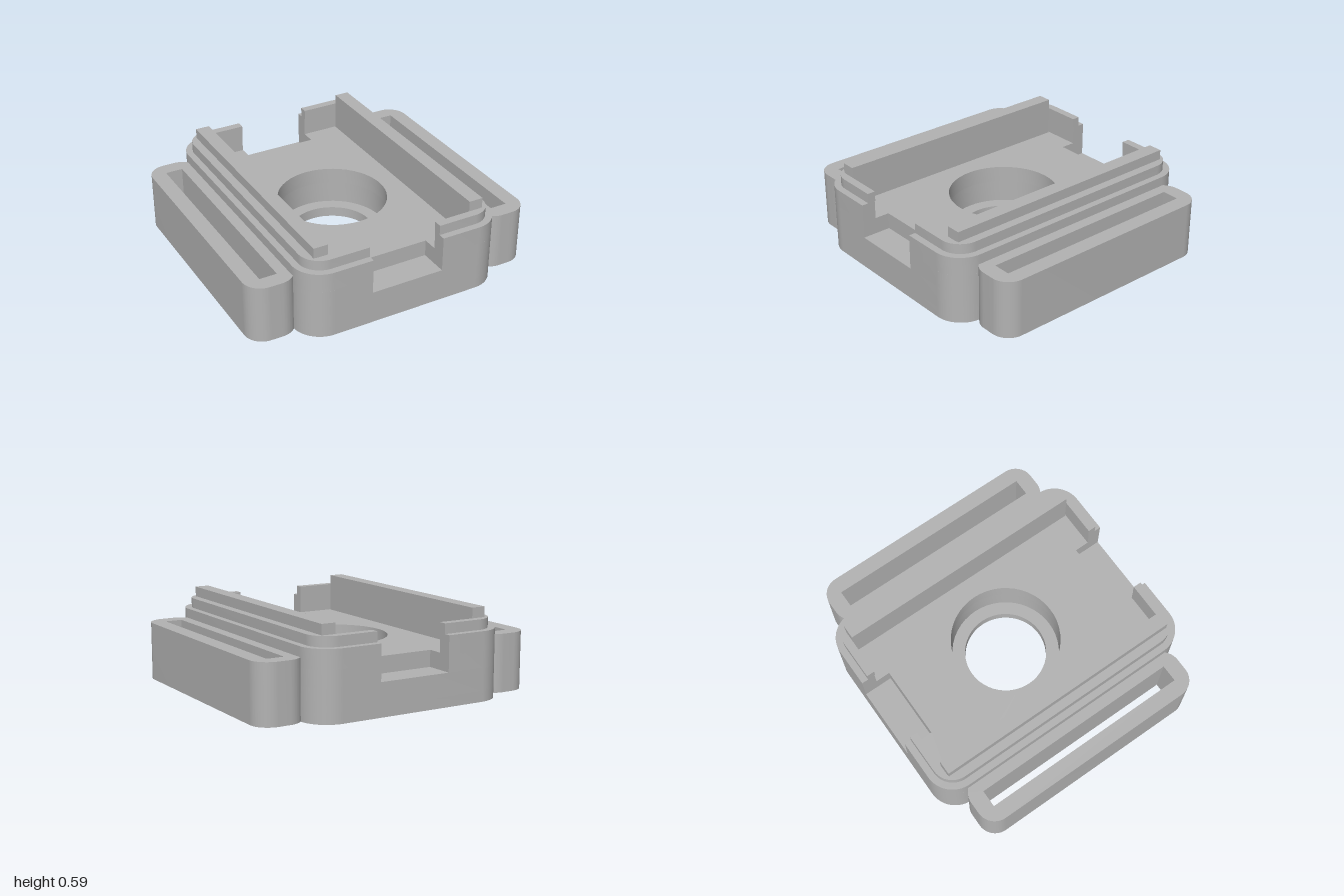
import * as THREE from 'three';
import { toCreasedNormals } from 'three/addons/utils/BufferGeometryUtils.js';

const NOTCH_X = 0.25; // half width of the end notches
const NOTCH_Z = 0.77; // where the notches stop

// Rounded rectangle, optionally with a notch in both ends
function roundedRect(x0, x1, z, r, notched = false) {
  const s = new THREE.Shape();
  s.moveTo(x0 + r, -z);
  if (notched) {
    s.lineTo(-NOTCH_X, -z);
    s.lineTo(-NOTCH_X, -NOTCH_Z);
    s.lineTo(NOTCH_X, -NOTCH_Z);
    s.lineTo(NOTCH_X, -z);
  }
  s.lineTo(x1 - r, -z);
  s.absarc(x1 - r, -z + r, r, -Math.PI / 2, 0, false);
  s.lineTo(x1, z - r);
  s.absarc(x1 - r, z - r, r, 0, Math.PI / 2, false);
  if (notched) {
    s.lineTo(NOTCH_X, z);
    s.lineTo(NOTCH_X, NOTCH_Z);
    s.lineTo(-NOTCH_X, NOTCH_Z);
    s.lineTo(-NOTCH_X, z);
  }
  s.lineTo(x0 + r, z);
  s.absarc(x0 + r, z - r, r, Math.PI / 2, Math.PI, false);
  s.lineTo(x0, -z + r);
  s.absarc(x0 + r, -z + r, r, Math.PI, Math.PI * 1.5, false);
  return s;
}

// C-shaped side wall, open towards the middle; side is +1 or -1
function sideWall(side, x, z, r, innerX, innerZ) {
  const pts = [[NOTCH_X, -z]];
  const arc = (cz, from) => {
    for (let i = 0; i <= 16; i++) {
      const a = from + (i / 16) * (Math.PI / 2);
      pts.push([x - r + r * Math.cos(a), cz + r * Math.sin(a)]);
    }
  };
  arc(-z + r, -Math.PI / 2);
  arc(z - r, 0);
  pts.push([NOTCH_X, z], [NOTCH_X, innerZ], [innerX, innerZ], [innerX, -innerZ], [NOTCH_X, -innerZ]);
  return new THREE.Shape(pts.map(([px, pz]) => new THREE.Vector2(px * side, pz)));
}

function withHole(shape, radius) {
  const hole = new THREE.Path();
  hole.absarc(0, 0, radius, 0, Math.PI * 2, true);
  shape.holes.push(hole);
  return shape;
}

export function createModel() {
  const model = new THREE.Group();
  model.name = 'strapHolder';
  const grey = new THREE.MeshStandardMaterial({ color: 0xb3b3b3 });
  grey.name = 'grey plastic';

  const add = (name, geometry) => {
    const mesh = new THREE.Mesh(geometry, grey);
    mesh.name = name;
    model.add(mesh);
    return mesh;
  };

  // Upright slab of a plan shape between two heights
  const slab = (name, shape, y0, y1) => {
    const g = new THREE.ExtrudeGeometry(shape, { depth: y1 - y0, bevelEnabled: false, curveSegments: 24 });
    g.rotateX(-Math.PI / 2);
    g.translate(0, y0, 0);
    add(name, toCreasedNormals(g, 0.6));
  };

  // Solid base with a stepped round opening and end notches
  const W = 0.705, D = 0.966, R = 0.19;
  slab('baseLip', withHole(roundedRect(-W, W, D, R), 0.28), 0, 0.07);
  slab('baseBody', withHole(roundedRect(-W, W, D, R), 0.368), 0.07, 0.22);
  slab('trayFloor', withHole(roundedRect(-W, W, D, R, true), 0.368), 0.22, 0.33);

  for (const side of [1, -1]) {
    const label = side > 0 ? 'left' : 'right';

    // Tray wall and the narrower step on top of it
    slab(label + 'Wall', sideWall(side, W, D, R, 0.59, 0.87), 0.33, 0.455);
    slab(label + 'Step', sideWall(side, 0.66, 0.92, 0.145, 0.59, 0.865), 0.455, 0.522);

    // Raised rail along the inside of the wall
    const rail = add(label + 'Rail', new THREE.BoxGeometry(0.097, 0.26, 1.724));
    rail.position.set(side * 0.5535, 0.46, 0);

    // Strap loop with a long slot
    const loop = side > 0 ? roundedRect(0.67, 1, 0.83, 0.125) : roundedRect(-1, -0.67, 0.83, 0.125);
    const a = side * 0.778, b = side * 0.895, z = 0.725;
    loop.holes.push(new THREE.Path([[a, -z], [a, z], [b, z], [b, -z]].map(([px, pz]) => new THREE.Vector2(px, pz))));
    slab(label + 'StrapLoop', loop, 0, 0.39);
  }
  return model;
}
